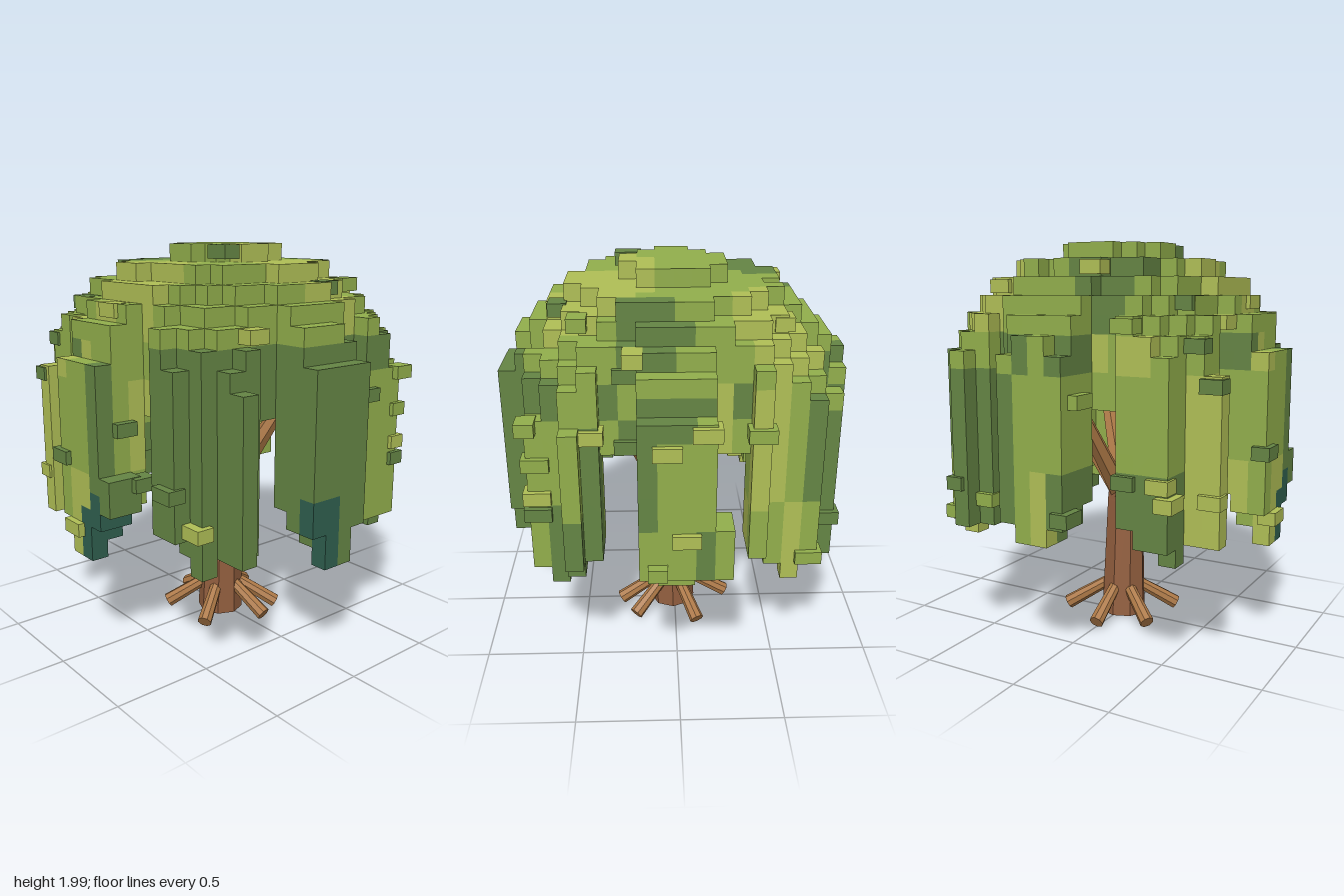
import * as THREE from 'three';
import { mergeGeometries } from 'three/addons/utils/BufferGeometryUtils.js';

const S = 0.0862;                                  // leaf cell size
const ORIGIN = [0.012, 2 - 17 * S, 0.005];         // corner of cell (0,0,0)
const COLORS = { light: 0xb0bf56, mid: 0x92af4c, dark: 0x658544, teal: 0x30604f };
// dome radius for each layer, from the underside (m = 8) to the crown (m = 16)
const DOME = [0.88, 0.88, 0.86, 0.81, 0.77, 0.685, 0.60, 0.50, 0.25];
// thin outer columns of the corner strands: x cell, z cell, lowest layer
const ARMS = [
  [7, -7, 1], [7, -6, 1], [7, -5, 1], [4, -8, 2], [5, -8, 1], [5, -9, 2],
  [-8, -7, 1], [-8, -6, 1], [-8, -5, 1], [-9, -6, 1], [-5, -8, 2],
  [-8, 4, 2], [-8, 5, 1], [-8, 6, 1], [-6, 7, 1], [-6, 8, 1], [-5, 7, 2],
  [7, 4, 1], [7, 5, 1], [8, 5, 1], [4, 7, 2], [5, 7, 2],
];
// leaf blocks standing out from the front and right: x, y, z, tone
const FRONT_BLOCKS = [
  [0.23, 1.965, 0.17, 'dark'], [-0.38, 1.71, 0.56, 'dark'], [0.05, 1.71, 0.67, 'light'],
  [-0.22, 1.62, 0.66, 'light'], [-0.73, 1.28, 0.18, 'mid'], [-0.65, 0.845, 0.6, 'light'],
  [-0.81, 0.76, 0.17, 'dark'], [0.48, 0.93, 0.69, 'dark'], [0.58, 0.76, 0.61, 'light'],
  [-0.03, 0.675, 0.855, 'light'], [-0.13, 1.01, 0.85, 'dark'],
];
const RIGHT_BLOCKS = [
  [0.18, 1.18, 0.73, 'dark'], [0.26, 0.93, 0.69, 'dark'], [0.56, 1.8, -0.17, 'dark'],
  [0.45, 1.8, -0.43, 'mid'], [0.65, 1.62, 0.35, 'light'], [0.69, 1.37, -0.6, 'mid'],
  [0.69, 1.28, -0.36, 'dark'], [0.1, 0.76, -0.85, 'mid'], [0.2, 1.71, -0.66, 'light'],
];

// repeatable value in 0..1 for three whole numbers
function hash(a, b, c) {
  const s = Math.sin(a * 127.1 + b * 311.7 + c * 74.7 + 5.3) * 43758.5453;
  return s - Math.floor(s);
}
const centre = (n, axis) => ORIGIN[axis] + (n + 0.5) * S;
const fold = n => (n >= 0 ? n : -1 - n);           // mirror cell index

// lowest layer of a hanging strand, or -1 where nothing hangs
function strandBottom(i, j) {
  const p = fold(i), q = fold(j);
  const far = Math.max(p, q), side = Math.min(p, q);
  // strands on the four sides
  if (side <= 1 && far >= 7) {
    if (far === 7) return 3;
    if (far === 8) return 1 + side;
    if (j === -10) return 2;
    return side === 1 ? 2 : (i === -10 ? 1 : 0);
  }
  // strands on the four corners
  if (side >= 4 && far <= 6 && p + q > 8) return p + q === 12 ? 0 : (p + q > 10 ? 1 : 2);
  const arm = ARMS.find(([x, z]) => x === i && z === j);
  return arm ? arm[2] : -1;
}

function buildCells() {
  const cells = new Set();
  const add = (i, m, j) => cells.add([i, m, j].join());
  for (let i = -10; i < 10; i++) {
    for (let j = -10; j < 10; j++) {
      const r = Math.hypot(centre(i, 0), centre(j, 2));
      const bottom = strandBottom(i, j);
      for (let m = 8; m < 17; m++) {
        const wobble = (hash(i >> 1, j >> 1, m) - 0.5) * 0.05;
        const limit = DOME[m - 8] + (m > 11 ? wobble : 0);
        if (r < limit && (r < 0.67 || bottom >= 0)) add(i, m, j);
      }
      if (bottom >= 0) for (let m = bottom; m < 10; m++) add(i, m, j);
    }
  }
  // side tufts low on the front and back strands
  for (const j of [8, 9]) for (const m of [3, 4]) add(2, m, j);
  for (const j of [-9, -10]) for (const m of [2, 3, 4]) add(-3, m, j);
  return cells;
}

// leaf colour in patches, darker towards the front left of the tree
function shade(i, m, j) {
  const x = centre(i, 0), z = centre(j, 2);
  const near = (a, b, d) => Math.hypot(x - a, z - b) < d;
  const patch = hash(Math.floor((i + (j & 1)) / 3), Math.floor(m / 5), Math.floor((j + (i & 1)) / 3));
  if (m < 3 + (i & 1) && ((x > 0.76 && z > 0) || (z > 0.7 && x > 0 && x < 0.2))) return 'teal';
  if (m < 12 && x * 0.9 + z * 0.5 > 0.5) return 'dark';
  if (m > 11) {
    if (near(-0.42, 0.2, 0.17) || near(0.12, -0.55, 0.16)) return 'dark';
    if (near(0.35, -0.15, 0.28) || near(0.05, 0.45, 0.22) || near(-0.48, -0.42, 0.2)) return 'light';
    return 'mid';
  }
  if (patch < 0.24) return 'dark';
  return patch > 0.8 ? 'light' : 'mid';
}

function buildFoliage() {
  const cells = buildCells();
  const quads = { light: [], mid: [], dark: [], teal: [] };
  const tufts = { light: [], mid: [], dark: [] };
  const addBlock = (pos, axis, tone) => {
    const size = axis === 0 ? [0.09, 0.066, 0.11] : [0.13, 0.066, 0.09];
    tufts[tone].push(new THREE.BoxGeometry(...size).translate(...pos));
  };
  for (const [x, y, z, tone] of FRONT_BLOCKS) addBlock([x, y, z], 2, tone);
  for (const [x, y, z, tone] of RIGHT_BLOCKS) addBlock([x, y, z], 0, tone);
  const loop = [[0, 0], [1, 0], [1, 1], [0, 0], [1, 1], [0, 1]];
  for (const key of cells) {
    const cell = key.split(',').map(Number);
    const out = quads[shade(...cell)];
    for (let d = 0; d < 3; d++) {
      for (const s of [1, -1]) {
        const next = cell.slice();
        next[d] += s;
        if (cells.has(next.join())) continue;
        // exposed cell face
        for (const [a, b] of loop) {
          const c = cell.slice();
          if (s > 0) c[d] += 1;
          c[(d + 1) % 3] += s > 0 ? a : b;
          c[(d + 2) % 3] += s > 0 ? b : a;
          out.push(...c.map((n, k) => ORIGIN[k] + n * S));
        }
        // scattered leaf blocks on the back and left
        const h = hash(cell[0] * 3 + d, cell[1] * 5 + s, cell[2] * 7);
        if (d === 1 || s > 0 || cell[d] > -4 || h > 0.03) continue;
        const pos = cell.map((n, k) => centre(n, k));
        pos[d] -= S * 0.3;
        addBlock(pos, d, ['light', 'mid', 'dark'][Math.floor(hash(...cell) * 3)]);
      }
    }
  }
  const group = new THREE.Group();
  group.name = 'foliage';
  for (const tone in COLORS) {
    const material = new THREE.MeshStandardMaterial({ color: COLORS[tone], flatShading: true });
    const geometry = new THREE.BufferGeometry();
    geometry.setAttribute('position', new THREE.Float32BufferAttribute(quads[tone], 3));
    geometry.computeVertexNormals();
    const leaves = new THREE.Mesh(geometry, material);
    leaves.name = tone + 'Leaves';
    group.add(leaves);
    if (tufts[tone]) {
      const blocks = new THREE.Mesh(mergeGeometries(tufts[tone]), material);
      blocks.name = tone + 'LeafBlocks';
      group.add(blocks);
    }
  }
  return group;
}

// tapered faceted limb between two points
function limb(name, from, to, r0, r1, sides, color) {
  const a = new THREE.Vector3(...from), b = new THREE.Vector3(...to);
  const dir = b.clone().sub(a);
  const mesh = new THREE.Mesh(
    new THREE.CylinderGeometry(r1, r0, dir.length(), sides),
    new THREE.MeshStandardMaterial({ color, flatShading: true })
  );
  mesh.position.copy(a).add(b).multiplyScalar(0.5);
  mesh.quaternion.setFromUnitVectors(new THREE.Vector3(0, 1, 0), dir.normalize());
  mesh.name = name;
  return mesh;
}

export function createModel() {
  const tree = new THREE.Group();
  tree.name = 'willowTree';
  tree.add(buildFoliage());

  // trunk in two leaning sections
  tree.add(limb('trunk', [0.01, 0.012, 0.01], [0.03, 0.67, 0.01], 0.122, 0.098, 8, 0x935f3f));
  tree.add(limb('trunkTop', [0.03, 0.65, 0.01], [0.025, 0.82, 0.005], 0.1, 0.075, 8, 0x935f3f));

  // six branches spreading up into the canopy
  for (let n = 0; n < 6; n++) {
    const a = THREE.MathUtils.degToRad(15 + n * 60);
    const c = Math.cos(a), s = Math.sin(a);
    tree.add(limb('branch', [0.02 + c * 0.03, 0.7, s * 0.03], [0.01 + c * 0.41, 1.32, s * 0.41], 0.055, 0.033, 6, 0xac7846));
  }

  // six roots sloping down to the ground
  for (const angle of [-10, 57, 125, 178, 245, 315]) {
    const a = THREE.MathUtils.degToRad(angle);
    const c = Math.cos(a), s = Math.sin(a);
    tree.add(limb('root', [0.01 + c * 0.05, 0.19, s * 0.05], [0.01 + c * 0.3, 0.042, s * 0.3], 0.03, 0.038, 8, 0xac7846));
  }
  return tree;
}
